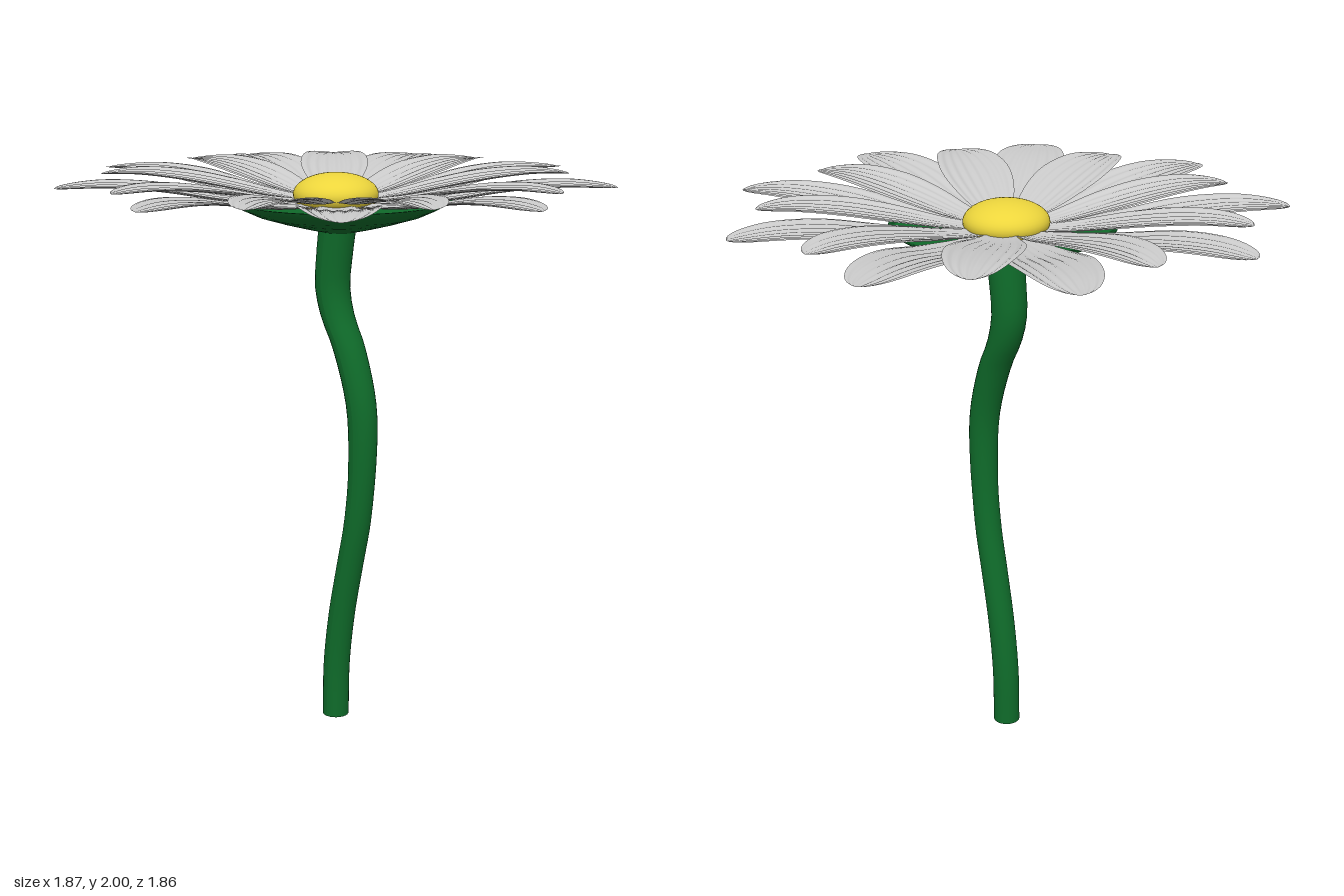
import * as THREE from 'three';

const CX = -0.01, CZ = -0.022; // flower axis
const mat = (color, side = THREE.FrontSide) => new THREE.MeshStandardMaterial({ color, side });

// Height of a petal's midline over its distance from the axis
function midline(points) {
  const curve = new THREE.CatmullRomCurve3(points.map(([r, y]) => new THREE.Vector3(r, y, 0)));
  return (t) => curve.getPointAt(t);
}

// Long rounded blade along +x: a shallow trough with fine lengthwise ribs
function petalGeometry(points, halfWidth, cup) {
  const geo = new THREE.PlaneGeometry(2, 1, 40, 24);
  const at = midline(points);
  const pos = geo.attributes.position;
  for (let i = 0; i < pos.count; i++) {
    const v = pos.getX(i);
    const t = Math.sin((pos.getY(i) + 0.5) * Math.PI / 2);
    const p = at(t);
    const tip = Math.sqrt(Math.max(0, 1 - t ** 5));
    const base = 0.25 + 0.75 * Math.sin(Math.PI / 2 * Math.min(1, t / 0.65));
    const lift = cup * v * v * tip * base + 0.0025 * Math.cos(v * Math.PI * 7) * tip * Math.min(1, t * 2);
    pos.setXYZ(i, p.x, p.y + lift, v * halfWidth * tip * base);
  }
  geo.computeVertexNormals();
  return geo;
}

function petalRing(name, geo, startDegrees, material) {
  const ring = new THREE.Group();
  ring.name = name;
  for (let i = 0; i < 9; i++) {
    const petal = new THREE.Mesh(geo, material);
    petal.name = 'petal';
    petal.rotation.y = -THREE.MathUtils.degToRad(startDegrees + i * 40);
    ring.add(petal);
  }
  return ring;
}

// Stem: level rings shifted sideways along a wavy line, wider towards the top
function stemGeometry() {
  const curve = new THREE.CatmullRomCurve3([
    [-0.01, 0], [-0.005, 0.2], [0.02, 0.4], [0.06, 0.6], [0.095, 0.77], [0.117, 1], [0.11, 1.2],
    [0.05, 1.4], [0, 1.5], [-0.025, 1.6], [-0.018, 1.7], [0, 1.83],
  ].map(([x, y]) => new THREE.Vector3(x, y, 0)));
  const geo = new THREE.CylinderGeometry(1, 1, 1, 24, 40);
  const pos = geo.attributes.position;
  for (let i = 0; i < pos.count; i++) {
    const p = curve.getPointAt(THREE.MathUtils.clamp(pos.getY(i) + 0.5, 0, 1));
    const r = 0.048 + 0.017 * Math.max(0, (p.y - 0.9) / 0.9);
    pos.setXYZ(i, p.x + pos.getX(i) * r, p.y, pos.getZ(i) * r);
  }
  geo.computeVertexNormals();
  return geo;
}

export function createModel() {
  const model = new THREE.Group();
  model.name = 'daisy';
  const green = mat(0x0f6b2a, THREE.DoubleSide);
  const white = mat(0xcccccc, THREE.DoubleSide);

  const stem = new THREE.Mesh(stemGeometry(), green);
  stem.name = 'stem';
  stem.position.z = CZ;
  model.add(stem);

  const head = new THREE.Group();
  head.name = 'flowerHead';
  head.position.set(CX, 0, CZ);
  model.add(head);

  // Green cup below the petals, with a slightly hollow top
  const calyx = new THREE.Mesh(new THREE.LatheGeometry([
    [0, 1.795], [0.065, 1.8], [0.13, 1.815], [0.21, 1.836], [0.29, 1.86], [0.345, 1.885],
    [0.386, 1.91], [0.36, 1.907], [0.2, 1.885], [0, 1.875],
  ].map(([r, y]) => new THREE.Vector2(r, y)), 48), green);
  calyx.name = 'calyx';
  calyx.position.x = 0.018;
  head.add(calyx);

  // Two staggered rings of petals
  const lower = petalGeometry(
    [[0.08, 1.893], [0.25, 1.902], [0.4, 1.918], [0.6, 1.952], [0.78, 1.968], [0.952, 1.965]], 0.142, 0.016);
  head.add(petalRing('lowerPetals', lower, 6.7, white));
  const upper = petalGeometry(
    [[0.08, 1.903], [0.22, 1.918], [0.38, 1.946], [0.55, 1.972], [0.7, 1.983], [0.83, 1.978]], 0.13, 0.017);
  head.add(petalRing('upperPetals', upper, -13, white));

  // Flattened yellow button in the middle
  const disc = new THREE.Mesh(new THREE.SphereGeometry(0.147, 40, 24), mat(0xecd53c));
  disc.name = 'centre';
  disc.scale.y = 0.5;
  disc.position.y = 1.925;
  head.add(disc);

  return model;
}
